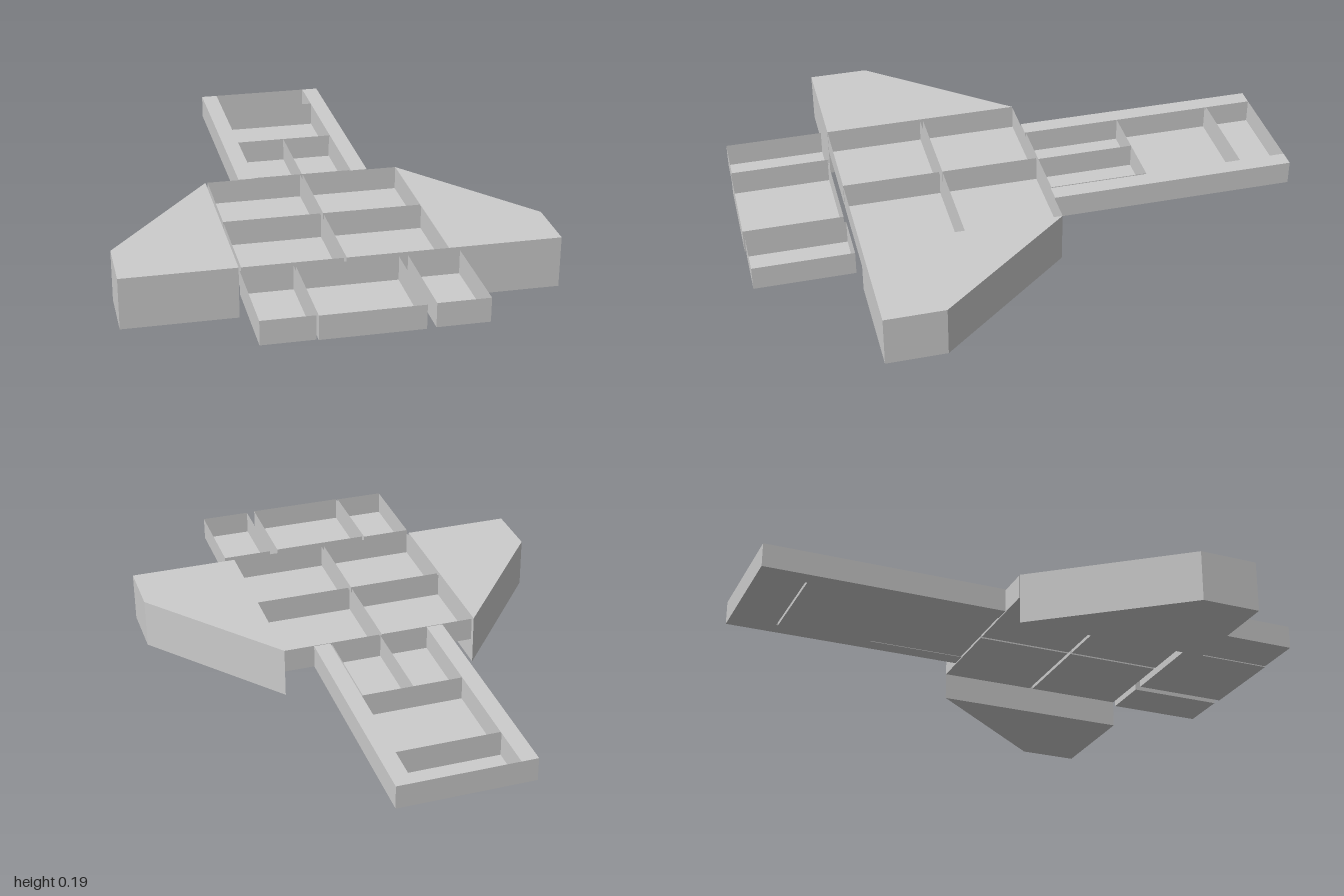
import * as THREE from 'three';

const TOP = 0.187, FLOOR = 0.1;

export function createModel() {
  const model = new THREE.Group();
  const solid = new THREE.MeshStandardMaterial({ color: 0xcccccc, flatShading: true });
  const thin = new THREE.MeshStandardMaterial({ color: 0xcccccc, flatShading: true, side: THREE.DoubleSide });

  // Box between two plan corners, from the tray floor to the top
  function block(name, x0, x1, z0, z1, open) {
    const geo = new THREE.BoxGeometry(x1 - x0, TOP - FLOOR, z1 - z0);
    if (open) {
      // drop the top face (third of the six sides)
      const index = Array.from(geo.index.array);
      index.splice(12, 6);
      geo.setIndex(index);
      geo.clearGroups();
    }
    const mesh = new THREE.Mesh(geo, open ? thin : solid);
    mesh.name = name;
    mesh.position.set((x0 + x1) / 2, (TOP + FLOOR) / 2, (z0 + z1) / 2);
    model.add(mesh);
  }
  const tray = (name, ...edges) => block(name, ...edges, true);

  // Central body: two by two open trays
  for (const [row, z0, z1] of [['rear', -0.103, 0.25], ['front', 0.262, 0.616]]) {
    tray(row + 'BodyTrayRight', -0.356, -0.006, z0, z1);
    tray(row + 'BodyTrayLeft', 0.004, 0.361, z0, z1);
  }

  // Front trays
  tray('frontTrayRight', -0.365, -0.183, 0.641, 0.996);
  tray('frontTrayMiddle', -0.176, 0.178, 0.645, 1);
  tray('frontTrayLeft', 0.21, 0.392, 0.641, 0.996);

  // Tail: trays between two solid rails
  tray('tailSmallTrayRight', -0.178, 0.002, -0.468, -0.11);
  tray('tailSmallTrayLeft', 0.002, 0.186, -0.468, -0.11);
  tray('tailLargeTray', -0.178, 0.19, -0.822, -0.468);
  tray('tailEndTray', -0.178, 0.19, -1, -0.829);
  block('tailRailRight', -0.239, -0.178, -1, -0.106);
  block('tailRailLeft', 0.19, 0.251, -1, -0.106);

  // Deep solid wings with swept leading edges
  for (const [name, inner, outer] of [['wingRight', -0.364, -0.767], ['wingLeft', 0.361, 0.764]]) {
    const outline = new THREE.Shape([
      new THREE.Vector2(inner, 0.103),
      new THREE.Vector2(outer, -0.4),
      new THREE.Vector2(outer, -0.616),
      new THREE.Vector2(inner, -0.616),
    ]);
    const geo = new THREE.ExtrudeGeometry(outline, { depth: TOP, bevelEnabled: false });
    geo.rotateX(-Math.PI / 2);
    const wing = new THREE.Mesh(geo, solid);
    wing.name = name;
    model.add(wing);
  }

  return model;
}
